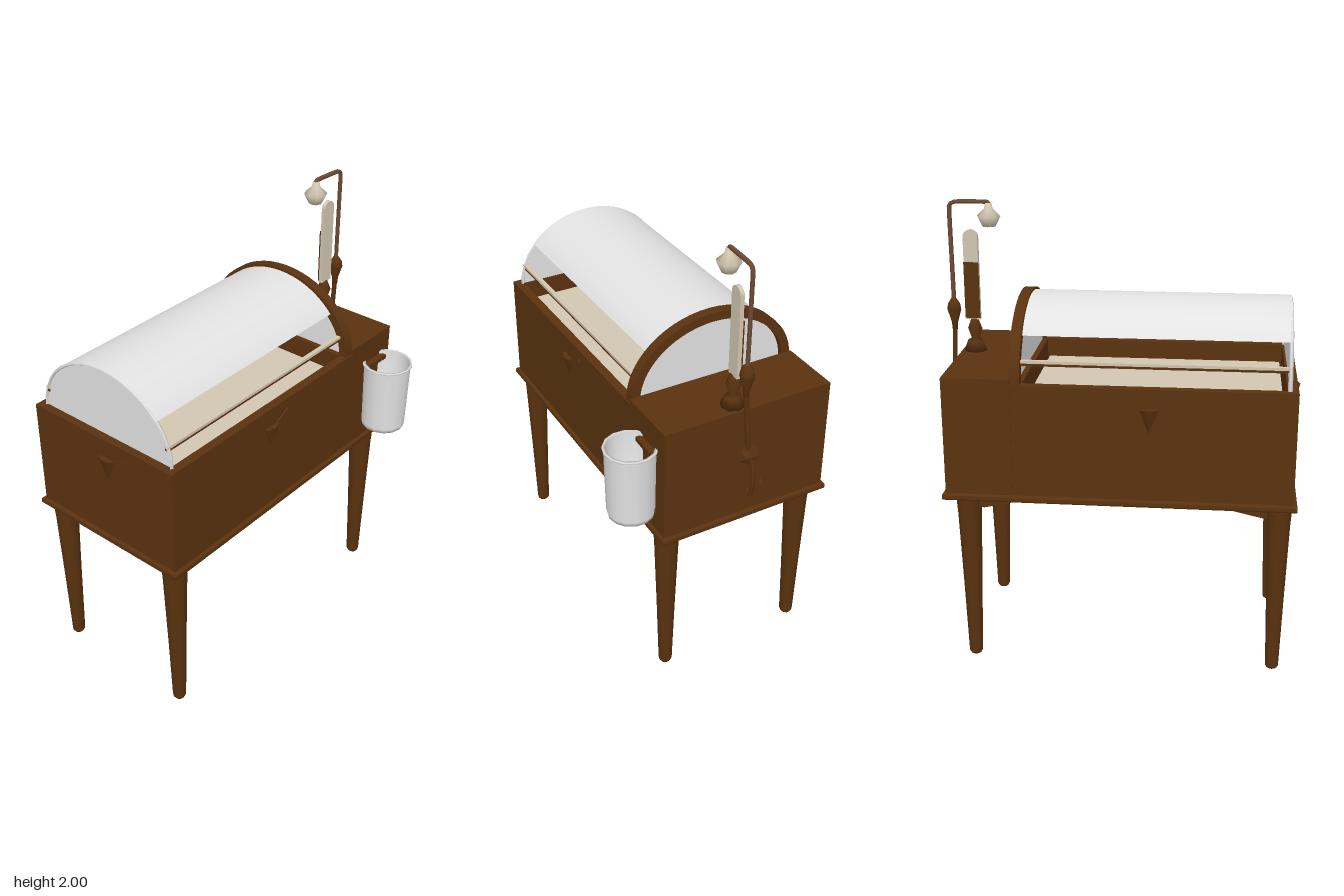
import * as THREE from 'three';

const mat = (name, color, side = THREE.FrontSide) => {
  const m = new THREE.MeshStandardMaterial({ color, side });
  m.name = name;
  return m;
};

export function createModel() {
  const wood = mat('dark wood', 0x5a320f);
  const white = mat('white glaze', 0xe2e2e2, THREE.DoubleSide);
  const cream = mat('cream', 0xd2c6b0);
  const copper = mat('copper tube', 0x6e4a34);
  const model = new THREE.Group();
  // The whole cabinet stands slightly turned
  const cabinet = new THREE.Group();
  cabinet.name = 'cabinet';
  cabinet.position.set(-0.035, 0, -0.065);
  cabinet.rotation.y = 0.04;
  model.add(cabinet);

  const add = (parent, name, geo, material, x = 0, y = 0, z = 0) => {
    const mesh = new THREE.Mesh(geo, material);
    mesh.name = name;
    mesh.position.set(x, y, z);
    parent.add(mesh);
    return mesh;
  };
  const box = (w, h, d) => new THREE.BoxGeometry(w, h, d);
  const lathe = (pts, n) => new THREE.LatheGeometry(pts.map(p => new THREE.Vector2(...p)), n);
  const tube = (pts, r, n = 24) => new THREE.TubeGeometry(
    new THREE.CatmullRomCurve3(pts.map(p => new THREE.Vector3(...p)), false, 'catmullrom', 0.2), n, r, 6);
  const rect = (P, x0, x1, z) => {
    const p = new P();
    p.moveTo(x0, -z); p.lineTo(x1, -z); p.lineTo(x1, z); p.lineTo(x0, z); p.closePath();
    return p;
  };

  // Tub with open top, floor, rim and raised end
  const wall = rect(THREE.Shape, -0.742, 0.455, 0.39);
  wall.holes.push(rect(THREE.Path, -0.695, 0.405, 0.35));
  const tub = new THREE.ExtrudeGeometry(wall, { depth: 0.5, bevelEnabled: false });
  tub.rotateX(-Math.PI / 2);
  add(cabinet, 'tubWalls', tub, wood, 0, 0.8, 0);
  add(cabinet, 'tubFloor', box(1.48, 0.03, 0.775), wood, 0, 0.8, 0);
  add(cabinet, 'raisedEnd', box(0.291, 0.525, 0.784), wood, 0.5975, 1.0625, 0);
  const rim = new THREE.ExtrudeGeometry(rect(THREE.Shape, -0.748, 0.748, 0.395),
    { depth: 0.015, bevelThickness: 0.008, bevelSize: 0.01, bevelSegments: 2 });
  rim.rotateX(-Math.PI / 2);
  add(cabinet, 'bottomRim', rim, wood, 0, 0.785, 0);
  add(cabinet, 'mattress', box(1.08, 0.36, 0.68), cream, -0.145, 1.04, 0);

  // Tapered legs with sloping corner brackets
  const legGeo = lathe([[0, 0], [0.024, 0], [0.03, 0.012], [0.04, 0.35], [0.052, 0.7], [0.058, 0.79]], 10);
  const bracketShape = new THREE.Shape();
  bracketShape.moveTo(0, 0); bracketShape.lineTo(0.07, 0);
  bracketShape.lineTo(0.27, 0.045); bracketShape.lineTo(0.27, 0.06); bracketShape.lineTo(0, 0.06);
  const bracketGeo = new THREE.ExtrudeGeometry(bracketShape, { depth: 0.04, bevelEnabled: false });
  bracketGeo.translate(0, 0, -0.02);
  for (const sx of [-1, 1]) for (const sz of [-1, 1]) {
    const x = -0.015 + sx * 0.67, z = sz * 0.33;
    add(cabinet, 'leg', legGeo, wood, x, 0, z);
    add(cabinet, 'longBracket', bracketGeo, wood, x, 0.728, z).rotation.y = sx > 0 ? Math.PI : 0;
    const side = add(cabinet, 'sideBracket', bracketGeo, wood, x, 0.728, z);
    side.rotation.y = sz * Math.PI / 2;
    side.scale.x = 0.65;
  }

  // Carved wedge handles on front, back and end
  const handleGeo = new THREE.ConeGeometry(0.045, 0.11, 6);
  handleGeo.rotateX(Math.PI);
  handleGeo.scale(1, 1, 0.6);
  const wing = box(0.13, 0.014, 0.014);
  for (const [x, z, ry] of [[-0.13, 0.39, 0], [-0.13, -0.39, Math.PI], [-0.742, 0.03, -Math.PI / 2]]) {
    const handle = new THREE.Group();
    handle.name = 'handle';
    handle.position.set(x, 1.16, z);
    handle.rotation.y = ry;
    add(handle, 'handleWedge', handleGeo, wood);
    add(handle, 'handleWing', wing, wood, 0.055, 0.06, 0).rotation.z = 0.5;
    cabinet.add(handle);
  }

  // Arched frame and glazed end panels
  const halfOval = (P, a, b) => {
    const p = new P();
    p.moveTo(a, 0);
    p.absellipse(0, 0, a, b, 0, Math.PI, false);
    p.closePath();
    return p;
  };
  const archShape = new THREE.Shape();
  archShape.absellipse(0, 0, 0.385, 0.32, 0, Math.PI, false);
  archShape.lineTo(-0.345, 0);
  archShape.absellipse(0, 0, 0.345, 0.28, Math.PI, 0, true);
  archShape.closePath();
  const arch = new THREE.ExtrudeGeometry(archShape, { depth: 0.045, bevelEnabled: false, curveSegments: 14 });
  arch.rotateY(Math.PI / 2);
  add(cabinet, 'archFrame', arch, wood, 0.41, 1.3, 0);
  const panel = new THREE.ShapeGeometry(halfOval(THREE.Shape, 0.355, 0.3), 16);
  panel.rotateY(Math.PI / 2);
  add(cabinet, 'archPanel', panel, white, 0.43, 1.3, 0);
  add(cabinet, 'endPanel', panel, white, -0.705, 1.3, 0);
  const hoop = new THREE.TorusGeometry(1, 0.02, 4, 20, Math.PI);
  hoop.rotateY(Math.PI / 2);
  hoop.scale(0.5, 0.305, 0.357);
  add(cabinet, 'endHoop', hoop, white, -0.705, 1.3, 0);

  // Curved canopy, open along both sides
  const canopy = new THREE.CylinderGeometry(1, 1, 1.125, 20, 1, true, 0.65, Math.PI - 1.3);
  canopy.rotateZ(Math.PI / 2);
  canopy.scale(1, 0.31, 0.36);
  add(cabinet, 'canopy', canopy, white, -0.15, 1.3, 0);

  // Side rails below the canopy
  for (const s of [-1, 1]) {
    add(cabinet, 'sideRail', box(1.12, 0.012, 0.02), cream, -0.15, 1.39, s * 0.337);
    add(cabinet, 'railEdge', box(1.12, 0.01, 0.016), wood, -0.15, 1.378, s * 0.337);
  }

  // Bucket hung on the front
  add(model, 'bucket', lathe([[0, 0], [0.098, 0], [0.102, 0.02], [0.108, 0.32], [0.115, 0.325],
    [0.113, 0.333], [0.1, 0.33], [0.094, 0.02], [0, 0.02]], 14), white, 0.597, 0.89, 0.385);
  for (const y of [0.91, 1.2])
    add(model, 'bucketClip', box(0.13, 0.02, 0.06), wood, 0.597, y, 0.3);

  // Small upright plate on a turned base
  add(model, 'plateBase', lathe([[0, 0], [0.052, 0], [0.035, 0.045], [0.018, 0.055], [0.033, 0.1],
    [0.016, 0.145], [0, 0.15]], 8), wood, 0.65, 1.325, -0.045);
  const plate = new THREE.Shape();
  plate.moveTo(-0.033, 0); plate.lineTo(0.033, 0); plate.lineTo(0.033, 0.37);
  plate.quadraticCurveTo(0.03, 0.395, 0, 0.4); plate.quadraticCurveTo(-0.03, 0.395, -0.033, 0.37);
  plate.closePath();
  add(model, 'plate', new THREE.ExtrudeGeometry(plate, { depth: 0.018, bevelEnabled: false }),
    cream, 0.655, 1.468, -0.054);
  add(model, 'plateBack', box(0.066, 0.25, 0.006), wood, 0.655, 1.6, -0.057);

  // Lamp post, turned knob and shade
  add(model, 'lampArm', tube([[0.74, 1.5, -0.05], [0.743, 1.95, -0.05], [0.738, 1.978, -0.05],
    [0.715, 1.988, -0.05], [0.575, 1.99, -0.05], [0.563, 1.975, -0.05]], 0.01, 40), copper);
  add(model, 'lampKnob', lathe([[0, 0], [0.012, 0], [0.014, 0.03], [0.032, 0.09], [0.028, 0.115],
    [0.012, 0.14], [0, 0.14]], 8), wood, 0.741, 1.42, -0.05);
  add(model, 'lowerPost', tube([[0.741, 1.44, -0.05], [0.745, 1.25, -0.063], [0.74, 1.1, -0.08]], 0.011), wood);
  add(model, 'lampShade', lathe([[0, 0], [0.03, 0], [0.052, 0.045], [0.02, 0.075], [0.014, 0.1], [0, 0.1]], 8),
    cream, 0.568, 1.885, -0.05);

  // Bracket, hook and tip at the foot of the post
  add(model, 'postBracket', new THREE.IcosahedronGeometry(0.05, 0), wood, 0.735, 1.12, -0.085).scale.set(0.6, 1, 1);
  add(model, 'hook', tube([[0.735, 1.16, -0.08], [0.762, 1.05, -0.09], [0.762, 0.97, -0.09],
    [0.745, 0.915, -0.09], [0.725, 0.93, -0.09]], 0.011), wood);
  add(model, 'hookTip', new THREE.ConeGeometry(0.012, 0.025, 5), wood, 0.8, 1.03, -0.105);

  return model;
}
